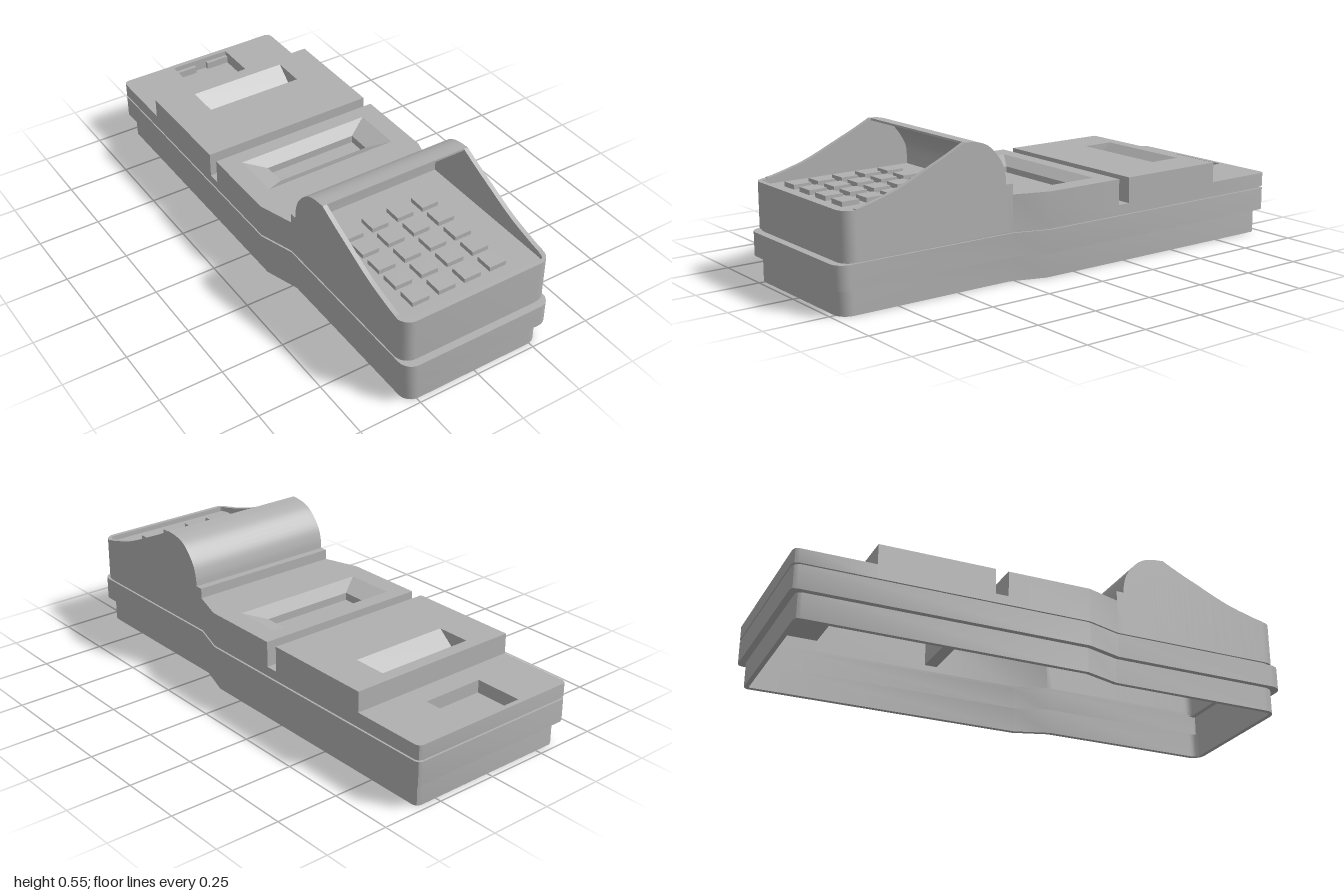
import * as THREE from 'three';
import { toCreasedNormals } from 'three/addons/utils/BufferGeometryUtils.js';

const T = 0.018; // shell thickness
const grey = new THREE.MeshStandardMaterial({ color: 0xb0b0b0, side: THREE.DoubleSide });
grey.name = 'casing grey';

// half width of the casing along its length
function halfWidth(z) {
  const k = THREE.MathUtils.clamp((z - 0.13) / 0.14, 0, 1);
  return 0.36 - 0.045 * k;
}

// closed plan outline; side is a list of [z, topHeight] from rear to front
function outline(inset, rear, front, side, yRear, yFront) {
  const w = halfWidth(-1) - inset, f = halfWidth(1) - inset, r = 0.05;
  const half = [[w - 0.02, rear, yRear], [w - 0.006, rear + 0.006, yRear], [w, rear + 0.02, yRear]];
  for (const [z, y] of side) half.push([halfWidth(z) - inset, z, y]);
  for (let i = 0; i <= 6; i++) {
    const a = (i / 6) * Math.PI / 2;
    half.push([f - r + r * Math.cos(a), front - r + r * Math.sin(a), yFront]);
  }
  return half.concat(half.slice().reverse().map(([x, z, y]) => [-x, z, y]));
}

// hollow wall standing on the outline
function wall(pts, y0, t) {
  const zs = pts.map(p => p[1]), zMin = Math.min(...zs) + t, zMax = Math.max(...zs) - t;
  const pos = [], index = [], n = pts.length;
  for (const [x, z, y] of pts) {
    const xi = x - t * Math.sign(x), zi = THREE.MathUtils.clamp(z, zMin, zMax);
    pos.push(x, y0, z, x, y, z, xi, y, zi, xi, y0, zi);
  }
  for (let i = 0; i < n; i++) {
    const a = i * 4, b = ((i + 1) % n) * 4;
    for (let k = 0; k < 4; k++) {
      const l = (k + 1) % 4;
      index.push(a + k, a + l, b + l, a + k, b + l, b + k);
    }
  }
  const g = new THREE.BufferGeometry();
  g.setAttribute('position', new THREE.Float32BufferAttribute(pos, 3));
  g.setIndex(index);
  return toCreasedNormals(g, 0.5);
}

// flat horizontal plate between two z values, with rectangular holes [x0, x1, z0, z1]
function plate(y, zList, holes = []) {
  const right = zList.map(z => new THREE.Vector2(halfWidth(z) - T, -z));
  const left = right.slice().reverse().map(p => new THREE.Vector2(-p.x, p.y));
  const shape = new THREE.Shape([...right, ...left]);
  for (const [x0, x1, z0, z1] of holes) {
    shape.holes.push(new THREE.Path([[x0, -z0], [x1, -z0], [x1, -z1], [x0, -z1]].map(p => new THREE.Vector2(...p))));
  }
  return new THREE.ShapeGeometry(shape).rotateX(-Math.PI / 2).translate(0, y, 0);
}

// sunken pocket from an upper rectangle to a lower one
function pocket(top, yTop, low, yLow, floor = true) {
  const ring = ([x0, x1, z0, z1], y) => [[x0, y, z0], [x1, y, z0], [x1, y, z1], [x0, y, z1]];
  const g = new THREE.BufferGeometry();
  g.setAttribute('position', new THREE.Float32BufferAttribute([...ring(top, yTop), ...ring(low, yLow)].flat(), 3));
  const index = floor ? [4, 6, 5, 4, 7, 6] : [];
  for (let i = 0; i < 4; i++) {
    const j = (i + 1) % 4;
    index.push(i, i + 4, j + 4, i, j + 4, j);
  }
  g.setIndex(index);
  return toCreasedNormals(g, 0.1);
}

export function createModel() {
  const model = new THREE.Group();
  const add = (name, geometry) => {
    const mesh = new THREE.Mesh(geometry, grey);
    mesh.name = name;
    model.add(mesh);
    return mesh;
  };
  const flatSide = y => [[0.13, y], [0.27, y]];

  // lower casing
  add('baseSkirt', wall(outline(0.022, -0.975, 0.978, flatSide(0.1), 0.1, 0.1), 0, T));
  add('middleBand', wall(outline(0, -1, 1, flatSide(0.187), 0.187, 0.187), 0.097, 0.04));
  add('seamGroove', wall(outline(0.008, -0.992, 0.97, flatSide(0.196), 0.196, 0.196), 0.18, 0.03));

  // hood and cheek curves as (z, y)
  const curve = (list, n) => new THREE.SplineCurve(list.map(p => new THREE.Vector2(...p))).getPoints(n);
  const hoodBack = curve([[0.3, 0.37], [0.304, 0.41], [0.322, 0.46], [0.37, 0.515], [0.42, 0.538], [0.48, 0.545]], 20);
  const cheek = curve([[0.48, 0.545], [0.55, 0.51], [0.63, 0.474], [0.76, 0.417], [0.88, 0.382], [0.924, 0.373]], 16);

  // upper casing wall follows the stepped side profile
  const side = [
    [-0.7, 0.25], [-0.7, 0.33], [-0.25, 0.33], [-0.25, 0.23], [-0.2, 0.23], [-0.2, 0.33],
    [0.13, 0.33], [0.27, 0.33], [0.27, 0.37],
    ...[...hoodBack, ...cheek.slice(1)].map(p => [p.x, p.y]),
  ];
  add('upperWall', wall(outline(0, -1, 0.975, side, 0.25, 0.37), 0.195, T));

  // decks
  const rearHole = [-0.13, 0.125, -0.98, -0.79];
  const vHole = [-0.205, 0.205, -0.65, -0.515];
  const slotHole = [-0.28, 0.28, -0.14, 0.06];
  add('rearDeck', plate(0.25, [-1 + T, -0.7], [rearHole]));
  add('printerDeck', plate(0.33, [-0.7, -0.25], [vHole]));
  add('grooveFloor', plate(0.23, [-0.25, -0.2]));
  add('middleDeck', plate(0.33, [-0.2, 0.13, 0.27], [slotHole]));
  for (const [name, z, y] of [['deckStep', -0.7, 0.25], ['grooveRear', -0.25, 0.23], ['grooveFront', -0.2, 0.23]]) {
    add(name, new THREE.PlaneGeometry(2 * (halfWidth(z) - T), 0.33 - y)).position.set(0, (0.33 + y) / 2, z);
  }

  // pockets in the decks
  add('rearPocket', pocket(rearHole, 0.25, rearHole, 0.2));
  for (const x of [-0.08, 0.075]) {
    add('pocketTab', new THREE.BoxGeometry(0.1, 0.03, 0.015)).position.set(x, 0.215, -0.972);
  }
  add('paperGroove', pocket(vHole, 0.33, [-0.205, 0.205, -0.585, -0.58], 0.275));
  const inner = [-0.195, 0.195, -0.09, 0.005];
  add('slotBevel', pocket(slotHole, 0.33, inner, 0.3, false));
  add('slotPocket', pocket(inner, 0.3, inner, 0.27));

  // curved hood over the keypad
  const hoodInside = curve([[0.48, 0.537], [0.42, 0.528], [0.378, 0.503], [0.338, 0.45], [0.322, 0.41], [0.32, 0.345]], 20);
  const V = (x, y) => new THREE.Vector2(x, y);
  const hoodShape = new THREE.Shape([V(0.27, 0.33), V(0.27, 0.37), ...hoodBack, ...hoodInside]);
  const hoodWidth = 2 * (halfWidth(1) - T);
  const hood = new THREE.ExtrudeGeometry(hoodShape, { depth: hoodWidth, bevelEnabled: false });
  add('hood', toCreasedNormals(hood.rotateY(-Math.PI / 2).translate(hoodWidth / 2, 0, 0), 0.5));

  // keypad
  add('keypadFloor', plate(0.35, [0.3, 0.925, 0.958]));
  for (let row = 0; row < 5; row++) {
    for (let col = 0; col < 4; col++) {
      add('key', new THREE.BoxGeometry(0.07, 0.018, 0.07)).position.set(-0.19 + col * 0.11, 0.359, 0.86 - row * 0.0985);
    }
  }
  return model;
}
